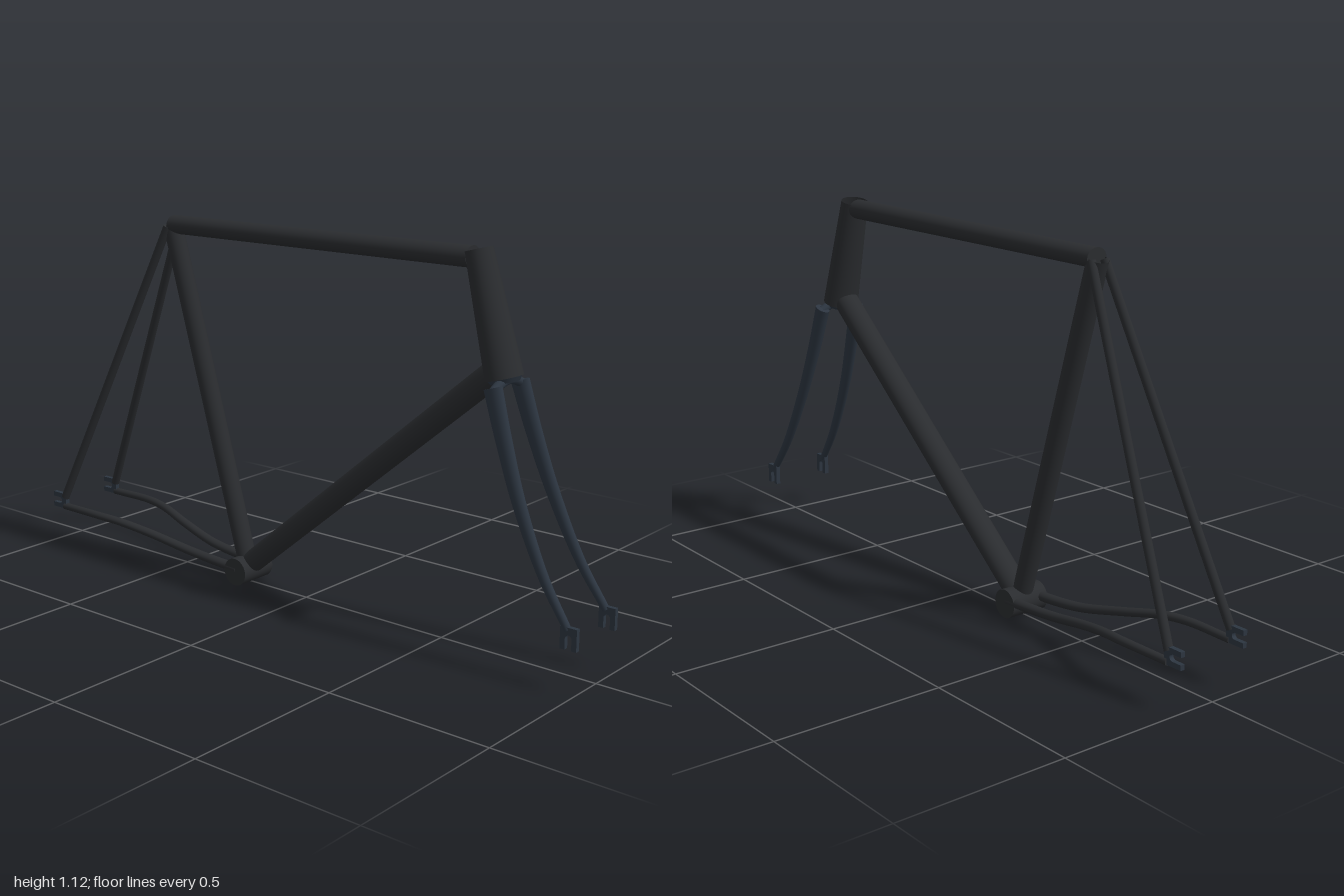
import * as THREE from 'three';

const frameMat = new THREE.MeshStandardMaterial({ color: 0x2a2c2f, side: THREE.DoubleSide });
const forkMat = new THREE.MeshStandardMaterial({ color: 0x2c3540, side: THREE.DoubleSide });

// Oval tube swept along points. rz0/rz1: sideways radii at the ends, ry0/ry1: radii in the frame plane.
function ovalTube(points, [rz0, rz1], [ry0, ry1], { steps = 1, capStart = true, capEnd = true } = {}) {
  const curve = new THREE.CatmullRomCurve3(points.map((p) => new THREE.Vector3(...p)));
  const sides = 24, pos = [], index = [];
  const ring = (t) => {
    const p = curve.getPointAt(t), T = curve.getTangentAt(t);
    const side = new THREE.Vector3(0, 0, 1).addScaledVector(T, -T.z).normalize();
    const up = new THREE.Vector3().crossVectors(T, side);
    const rz = THREE.MathUtils.lerp(rz0, rz1, t), ry = THREE.MathUtils.lerp(ry0, ry1, t);
    const start = pos.length / 3;
    for (let j = 0; j < sides; j++) {
      const a = (j / sides) * Math.PI * 2;
      const v = p.clone().addScaledVector(side, Math.cos(a) * rz).addScaledVector(up, Math.sin(a) * ry);
      pos.push(v.x, v.y, v.z);
    }
    return { start, p };
  };
  for (let i = 0; i <= steps; i++) ring(i / steps);
  for (let i = 0; i < steps; i++) {
    for (let j = 0; j < sides; j++) {
      const k = (j + 1) % sides, a = i * sides, b = a + sides;
      index.push(a + j, a + k, b + k, a + j, b + k, b + j);
    }
  }
  // Caps have their own vertices so the rims stay sharp
  const cap = (t) => {
    const { start, p } = ring(t);
    const c = pos.length / 3;
    pos.push(p.x, p.y, p.z);
    for (let j = 0; j < sides; j++) {
      const a = start + j, b = start + ((j + 1) % sides);
      index.push(c, ...(t === 1 ? [a, b] : [b, a]));
    }
  };
  if (capStart) cap(0);
  if (capEnd) cap(1);
  const g = new THREE.BufferGeometry();
  g.setAttribute('position', new THREE.Float32BufferAttribute(pos, 3));
  g.setIndex(index);
  g.computeVertexNormals();
  return g;
}

// Slotted dropout plate: slot opens toward -x, origin at the middle of the plate
function dropoutGeometry(length, height, slot) {
  const l = length / 2, h = height / 2, s = slot / 2;
  const shape = new THREE.Shape();
  shape.moveTo(-l, -h);
  shape.lineTo(l, -h);
  shape.lineTo(l, h);
  shape.lineTo(-l, h);
  shape.lineTo(-l, s);
  shape.lineTo(0, s);
  shape.absarc(0, 0, s, Math.PI / 2, -Math.PI / 2, true);
  shape.lineTo(-l, -s);
  shape.closePath();
  const t = 0.014;
  return new THREE.ExtrudeGeometry(shape, { depth: t, bevelEnabled: false, curveSegments: 8 }).translate(0, 0, -t / 2);
}

export function createModel() {
  const model = new THREE.Group();
  const add = (name, geometry, material = frameMat) => {
    const mesh = new THREE.Mesh(geometry, material);
    mesh.name = name;
    model.add(mesh);
    return mesh;
  };

  // Main triangle
  add('bottomBracketShell', new THREE.CylinderGeometry(0.043, 0.043, 0.126, 32).rotateX(Math.PI / 2))
    .position.set(-0.235, 0.043, 0);
  add('seatTube', ovalTube([[-0.235, 0.05, 0], [-0.535, 1.083, 0]], [0.03, 0.03], [0.029, 0.03], { capEnd: false }));
  add('topTube', ovalTube([[-0.53, 1.085, 0], [0.575, 1.092, 0]], [0.034, 0.035], [0.028, 0.03]));
  add('downTube', ovalTube([[-0.235, 0.05, 0], [0.655, 0.79, 0]], [0.04, 0.04], [0.034, 0.037]));
  add('headTube', ovalTube([[0.685, 0.78, 0], [0.594, 1.115, 0]], [0.056, 0.044], [0.052, 0.036], { capEnd: false }));

  // Fork top
  add('lowerHeadRace', ovalTube([[0.688, 0.768, 0], [0.684, 0.784, 0]], [0.042, 0.053], [0.038, 0.05]), forkMat);
  const crown = [[0.757, -0.066], [0.772, -0.035], [0.778, 0], [0.772, 0.035], [0.757, 0.066]];
  add('forkCrown', new THREE.TubeGeometry(
    new THREE.CatmullRomCurve3(crown.map(([y, z]) => new THREE.Vector3(0.697, y, z))), 20, 0.014, 12), forkMat);

  // Paired parts
  for (const s of [1, -1]) {
    const side = s > 0 ? 'left' : 'right';
    const legPoints = [[0.693, 0.765, 0.065], [0.735, 0.635, 0.072], [0.797, 0.47, 0.082],
      [0.885, 0.29, 0.091], [0.966, 0.17, 0.097]];
    const chainPoints = [[-0.235, 0.05, 0.047], [-0.33, 0.055, 0.048], [-0.44, 0.067, 0.054], [-0.59, 0.097, 0.077],
      [-0.70, 0.118, 0.102], [-0.79, 0.125, 0.115], [-0.95, 0.125, 0.114]];
    const mirror = (pts) => pts.map(([x, y, z]) => [x, y, z * s]);

    add(side + 'ForkBlade', ovalTube(mirror(legPoints), [0.019, 0.01], [0.028, 0.011], { steps: 24 }), forkMat);
    const front = add(side + 'FrontDropout', dropoutGeometry(0.062, 0.05, 0.02), forkMat);
    front.position.set(0.972, 0.15, 0.098 * s);
    front.rotation.z = Math.PI / 2;

    add(side + 'ChainStay', ovalTube(mirror(chainPoints), [0.017, 0.012], [0.014, 0.011], { steps: 40 }));
    add(side + 'SeatStay', ovalTube(mirror([[-0.95, 0.155, 0.113], [-0.535, 1.08, 0.024]]), [0.013, 0.013], [0.013, 0.013]));
    add(side + 'RearDropout', dropoutGeometry(0.06, 0.05, 0.02), forkMat)
      .position.set(-0.97, 0.143, 0.113 * s);
  }
  return model;
}
